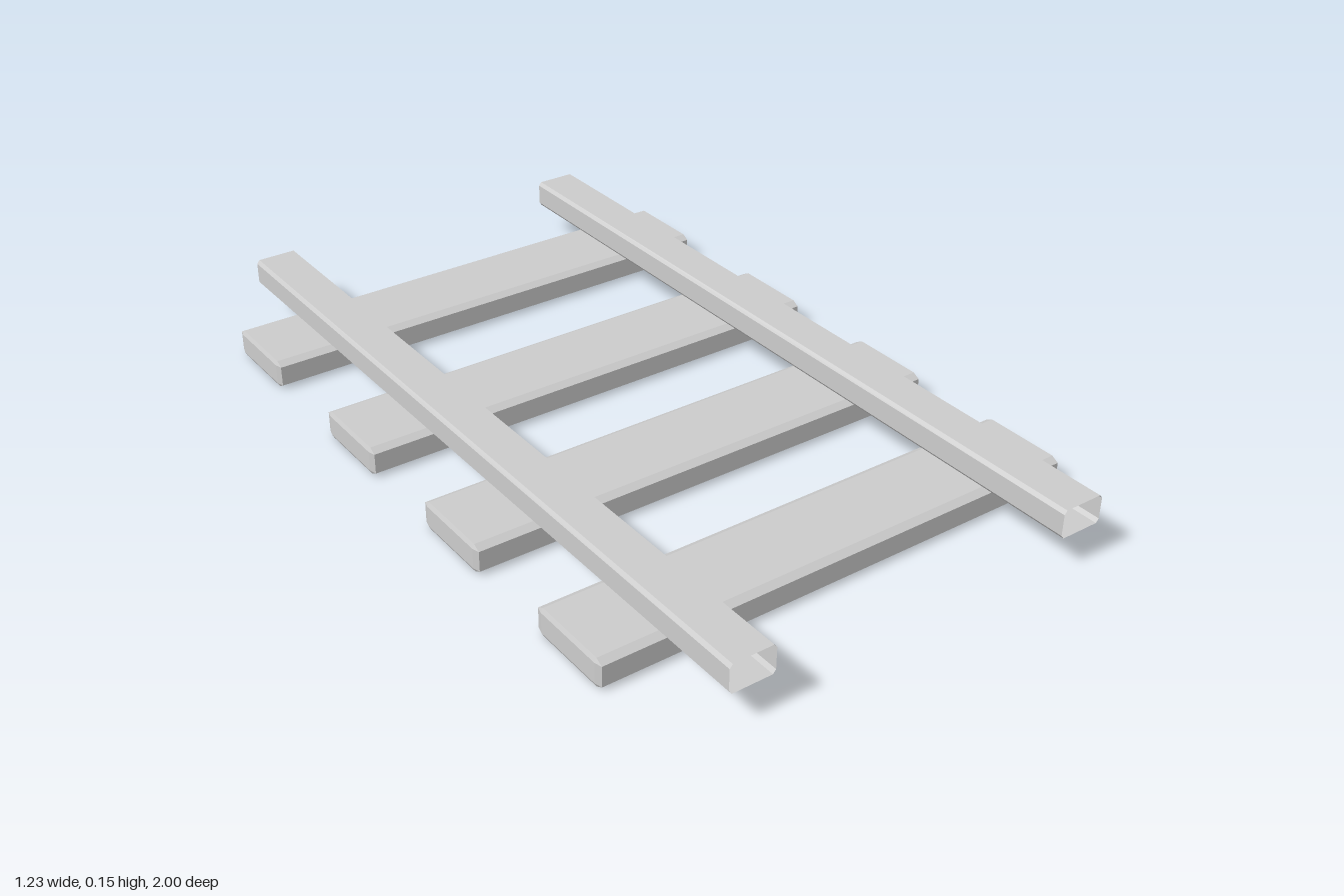
import * as THREE from 'three';
import { ConvexGeometry } from 'three/addons/geometries/ConvexGeometry.js';

const material = new THREE.MeshStandardMaterial({ color: 0xcccccc, flatShading: true });
const openMaterial = new THREE.MeshStandardMaterial({ color: 0xcccccc, flatShading: true, side: THREE.DoubleSide });

// Box with every edge chamfered; the chamfer may differ per axis
function chamferedBox(w, h, d, cx, cy, cz) {
  const points = [];
  for (const sx of [-1, 1]) for (const sy of [-1, 1]) for (const sz of [-1, 1]) {
    const x = w / 2, y = h / 2, z = d / 2;
    points.push(
      new THREE.Vector3(sx * x, sy * (y - cy), sz * (z - cz)),
      new THREE.Vector3(sx * (x - cx), sy * y, sz * (z - cz)),
      new THREE.Vector3(sx * (x - cx), sy * (y - cy), sz * z));
  }
  return new ConvexGeometry(points);
}

// Chamfered rectangular tube along z, open at both ends
function openBeam(w, h, length, cx, cy) {
  const x = w / 2, y = h / 2, z = length / 2;
  const ring = [
    [x, -y + cy], [x, y - cy], [x - cx, y], [-x + cx, y],
    [-x, y - cy], [-x, -y + cy], [-x + cx, -y], [x - cx, -y],
  ];
  const positions = [], indices = [];
  ring.forEach(([px, py], i) => {
    positions.push(px, py, z, px, py, -z);
    const a = 2 * i, b = 2 * ((i + 1) % ring.length);
    indices.push(a, a + 1, b, b, a + 1, b + 1);
  });
  const geometry = new THREE.BufferGeometry();
  geometry.setAttribute('position', new THREE.Float32BufferAttribute(positions, 3));
  geometry.setIndex(indices);
  const flat = geometry.toNonIndexed();
  flat.computeVertexNormals();
  return flat;
}

export function createModel() {
  const model = new THREE.Group();
  model.name = 'railwayTrack';

  function add(name, geometry, mat, x, y, z) {
    const mesh = new THREE.Mesh(geometry, mat);
    mesh.name = name;
    mesh.position.set(x, y, z);
    model.add(mesh);
  }

  // Four cross ties, slightly unevenly spaced
  const tie = chamferedBox(1.234, 0.07, 0.223, 0.005, 0.01, 0.018);
  [0.665, 0.216, -0.236, -0.711].forEach((z, i) => add(`tie${i + 1}`, tie, material, 0, 0.035, z));

  // Two hollow rails resting on the ties, offset a little lengthwise
  const rail = openBeam(0.111, 0.07, 1.993, 0.007, 0.009);
  add('leftRail', rail, openMaterial, 0.438, 0.111, 0.0035);
  add('rightRail', rail, openMaterial, -0.423, 0.111, -0.0035);

  return model;
}
